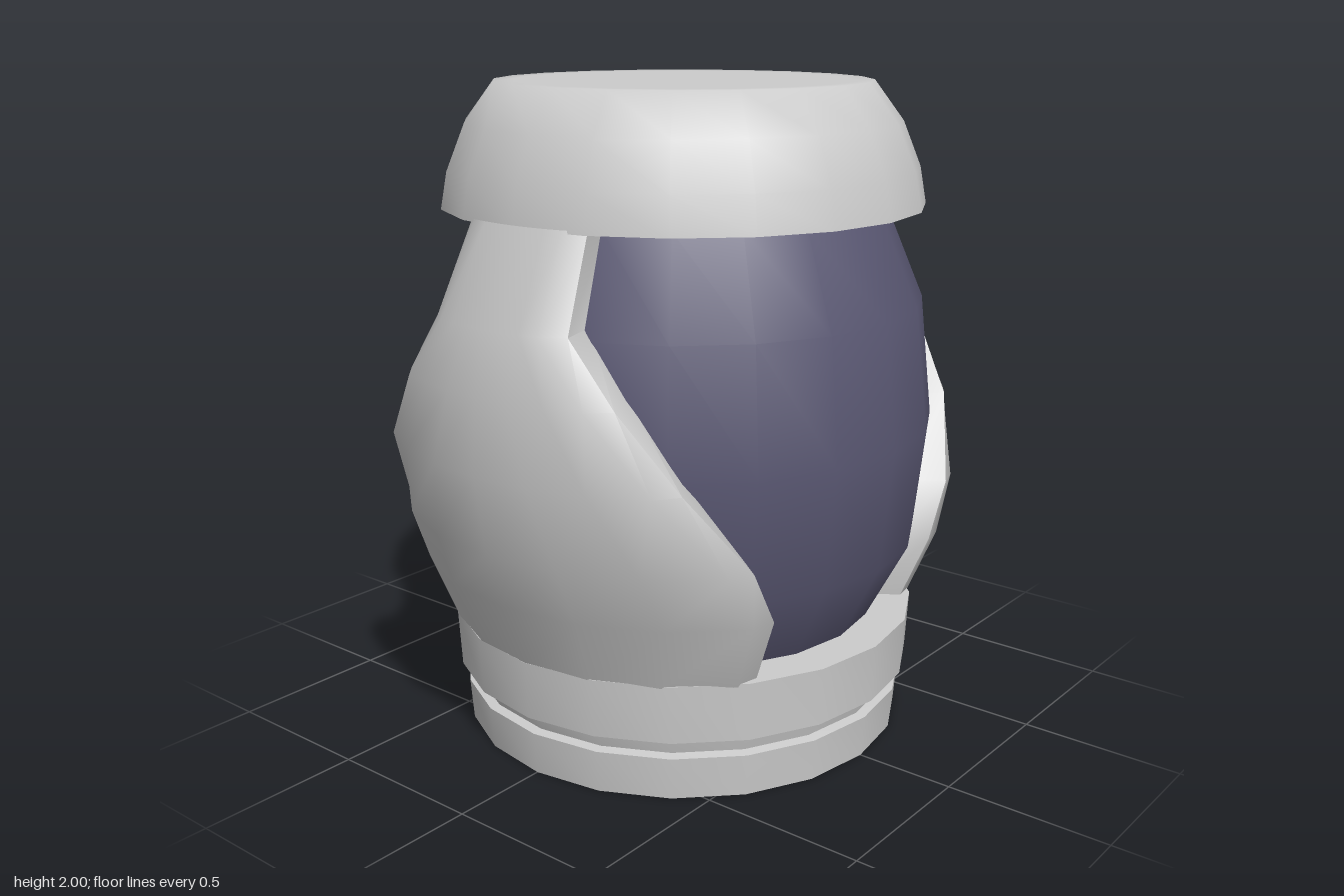
import * as THREE from 'three';
import { toCreasedNormals } from 'three/addons/utils/BufferGeometryUtils.js';

const SIDES = 20;
const CREASE = THREE.MathUtils.degToRad(55);
const grey = new THREE.MeshStandardMaterial({ color: 0xcccccc });
const dark = new THREE.MeshStandardMaterial({ color: 0x5a5873 });

// Turned part from [radius, height] points, listed bottom to top
function turned(name, points, material) {
  const profile = points.map(([r, y]) => new THREE.Vector2(r, y));
  const mesh = new THREE.Mesh(toCreasedNormals(new THREE.LatheGeometry(profile, SIDES), CREASE), material);
  mesh.name = name;
  return mesh;
}

// Raised panel rows: height, outer radius, glass radius, half-width in degrees
const PANEL_ROWS = [
  [0.36, 0.73, 0.61, 56],
  [0.57, 0.815, 0.71, 57.5],
  [0.74, 0.87, 0.75, 52],
  [0.98, 0.908, 0.775, 38.7],
  [1.2, 0.893, 0.75, 27],
  [1.38, 0.855, 0.72, 17.5],
  [1.645, 0.733, 0.61, 18],
];

// Curved shell with softened rims and side walls that sink into the glass
function panelGeometry() {
  const positions = [], index = [];
  const steps = [-1, -2 / 3, -1 / 3, 0, 1 / 3, 2 / 3, 1];
  const columns = steps.length + 4;
  for (const [y, outer, glass, half] of PANEL_ROWS) {
    const section = [
      [-half, glass - 0.03],
      [-half, outer - 0.03],
      ...steps.map((s) => [s * (half - 5), outer]),
      [half, outer - 0.03],
      [half, glass - 0.03],
    ];
    for (const [degrees, r] of section) {
      const a = THREE.MathUtils.degToRad(degrees);
      positions.push(r * Math.sin(a), y, r * Math.cos(a));
    }
  }
  for (let row = 0; row < PANEL_ROWS.length - 1; row++) {
    for (let c = 0; c < columns - 1; c++) {
      const a = row * columns + c, b = a + 1, d = a + columns, e = d + 1;
      index.push(a, b, e, a, e, d);
    }
  }
  const geometry = new THREE.BufferGeometry();
  geometry.setAttribute('position', new THREE.Float32BufferAttribute(positions, 3));
  geometry.setIndex(index);
  return toCreasedNormals(geometry, CREASE);
}

export function createModel() {
  const model = new THREE.Group();
  model.name = 'lantern';

  // Foot with a recessed neck
  model.add(turned('foot', [[0, 0], [0.695, 0], [0.705, 0.13], [0.675, 0.135], [0.69, 0.195]], grey));

  // Band holding the lower edge of the glass
  model.add(turned('lowerBand', [[0.6, 0.19], [0.725, 0.19], [0.735, 0.37], [0.58, 0.37]], grey));

  // Bulging dark body
  model.add(turned('glassBody', [
    [0.585, 0.33], [0.61, 0.37], [0.735, 0.61], [0.775, 0.98], [0.735, 1.35], [0.615, 1.635], [0.59, 1.68],
  ], dark));

  // Rounded cap
  model.add(turned('cap', [
    [0.55, 1.635], [0.735, 1.635], [0.715, 1.745], [0.66, 1.88], [0.57, 2], [0.51, 2], [0, 2],
  ], grey));

  // Matching front and back panels
  const shell = panelGeometry();
  ['frontPanel', 'backPanel'].forEach((name, i) => {
    const panel = new THREE.Mesh(shell, grey);
    panel.name = name;
    panel.rotation.y = i * Math.PI;
    model.add(panel);
  });

  return model;
}
